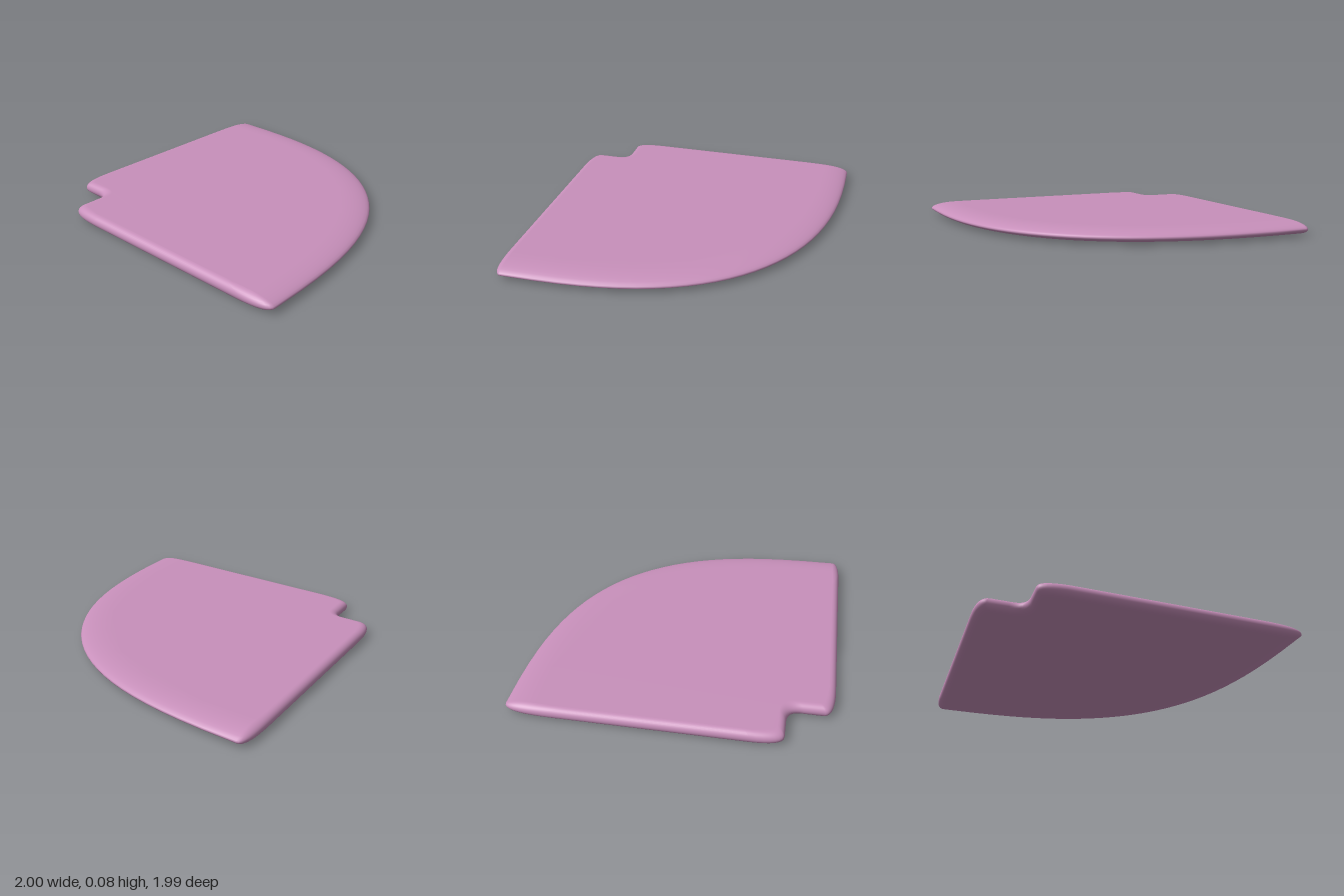
import * as THREE from 'three';

const EDGE = 0.045, ARC = 0.18;      // rounding depth of straight and curved sides
const HALF = 0.042;                  // half thickness
const POWER = 2 / 2.79;              // bulge of the curved side

// Closed outline [x, z], drawn in by s (0 = widest, 1 = flat top)
function outline(s) {
  const e = EDGE * s, a = ARC * s;
  const left = -1 + e, front = 0.995 - e, notchX = -0.71 + e, notchZ = 0.705 - e;
  const points = [];
  const corner = (x0, z0, x, z, x1, z1, n = 8) => {
    const curve = new THREE.QuadraticBezierCurve(
      new THREE.Vector2(x0, z0), new THREE.Vector2(x, z), new THREE.Vector2(x1, z1));
    points.push(...curve.getPoints(n));
  };
  // curved side, a squarish quarter ellipse around the front left corner
  const arc = [];
  const r = 2 - a, t0 = 0.0075;
  for (let i = 0; i <= 28; i++) {
    const t = t0 + (Math.PI / 2 - 2 * t0) * i / 28;
    arc.push(new THREE.Vector2(
      -1 + r * Math.cos(t) ** POWER, 1 - r * Math.sin(t) ** POWER));
  }
  const first = arc[0], last = arc[arc.length - 1];
  corner(last.x, last.y, left, -1 + a, left, -0.75 + a);
  corner(left, notchZ - 0.2, left, notchZ, left + 0.06, notchZ);
  corner(notchX - 0.1, notchZ, notchX, notchZ, notchX, notchZ + 0.1);
  corner(notchX, front - 0.06, notchX, front, notchX + 0.22, front);
  corner(1 - a - 0.22, front, 1 - a, front, first.x, first.y);
  points.push(...arc.slice(1, -1));
  return points;
}

// Stacks drawn-in outlines into a pillow-edged slab
function slabGeometry() {
  const layers = 16, position = [], index = [];
  let ring;
  for (let k = 0; k <= layers; k++) {
    const phi = (k / layers - 0.5) * Math.PI;
    ring = outline(1 - Math.cos(phi));
    for (const p of ring) position.push(p.x, HALF * (1 + Math.sin(phi)), p.y);
  }
  const n = ring.length;
  for (let k = 0; k < layers; k++) {
    for (let i = 0; i < n; i++) {
      const a = k * n + i, b = k * n + (i + 1) % n;
      index.push(a, b, b + n, a, b + n, a + n);
    }
  }
  // flat top and bottom
  const flat = ring.map(p => new THREE.Vector2(p.x, -p.y));
  for (const [a, b, c] of THREE.ShapeUtils.triangulateShape(flat, [])) {
    const top = layers * n;
    index.push(top + a, top + b, top + c, a, c, b);
  }
  const geometry = new THREE.BufferGeometry();
  geometry.setAttribute('position', new THREE.Float32BufferAttribute(position, 3));
  geometry.setIndex(index);
  geometry.computeVertexNormals();
  return geometry;
}

export function createModel() {
  const group = new THREE.Group();
  const slab = new THREE.Mesh(slabGeometry(),
    new THREE.MeshStandardMaterial({ color: 0xc890bb }));
  slab.name = 'quarterRoundSlab';
  group.add(slab);
  return group;
}
